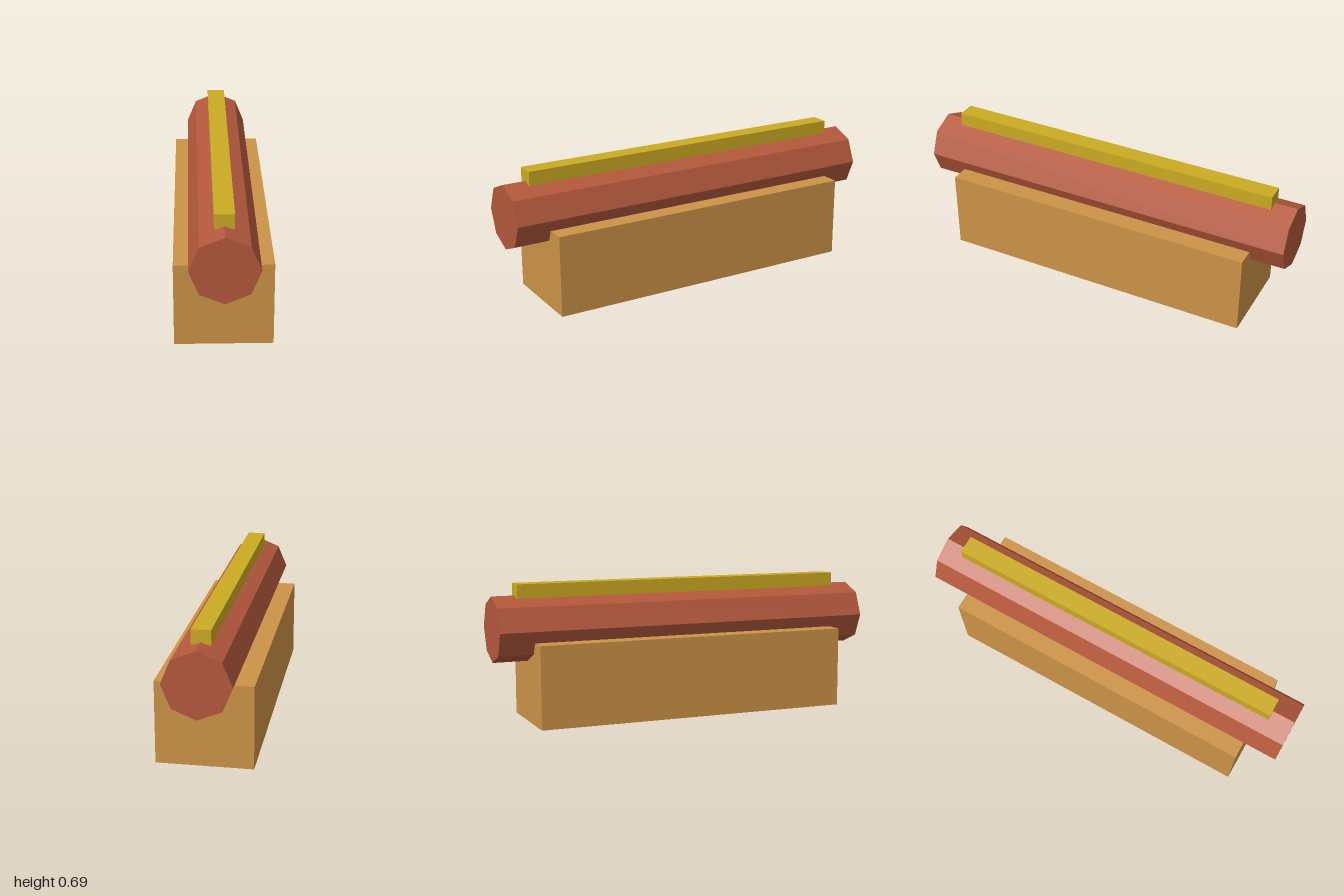
import * as THREE from 'three';

const material = (name, color) => {
  const m = new THREE.MeshStandardMaterial({ color, flatShading: true });
  m.name = name;
  return m;
};

export function createModel() {
  const group = new THREE.Group();
  group.name = 'hotDog';
  const add = (name, geometry, mat, y) => {
    const mesh = new THREE.Mesh(geometry, mat);
    mesh.name = name;
    mesh.position.y = y;
    group.add(mesh);
  };

  // Block-shaped bun standing on the ground
  add('bun', new THREE.BoxGeometry(0.47, 0.413, 1.645), material('toasted bun', 0xcc9347), 0.2065);

  // Eight-sided sausage lying along z, with an edge on top
  const sausage = new THREE.CylinderGeometry(0.1645, 0.1645, 2, 8).rotateX(Math.PI / 2);
  add('sausage', sausage, material('sausage red', 0xb4583c), 0.472);

  // Mustard strip along the top
  add('mustard', new THREE.BoxGeometry(0.094, 0.071, 1.763), material('mustard yellow', 0xccab22), 0.6595);

  return group;
}
